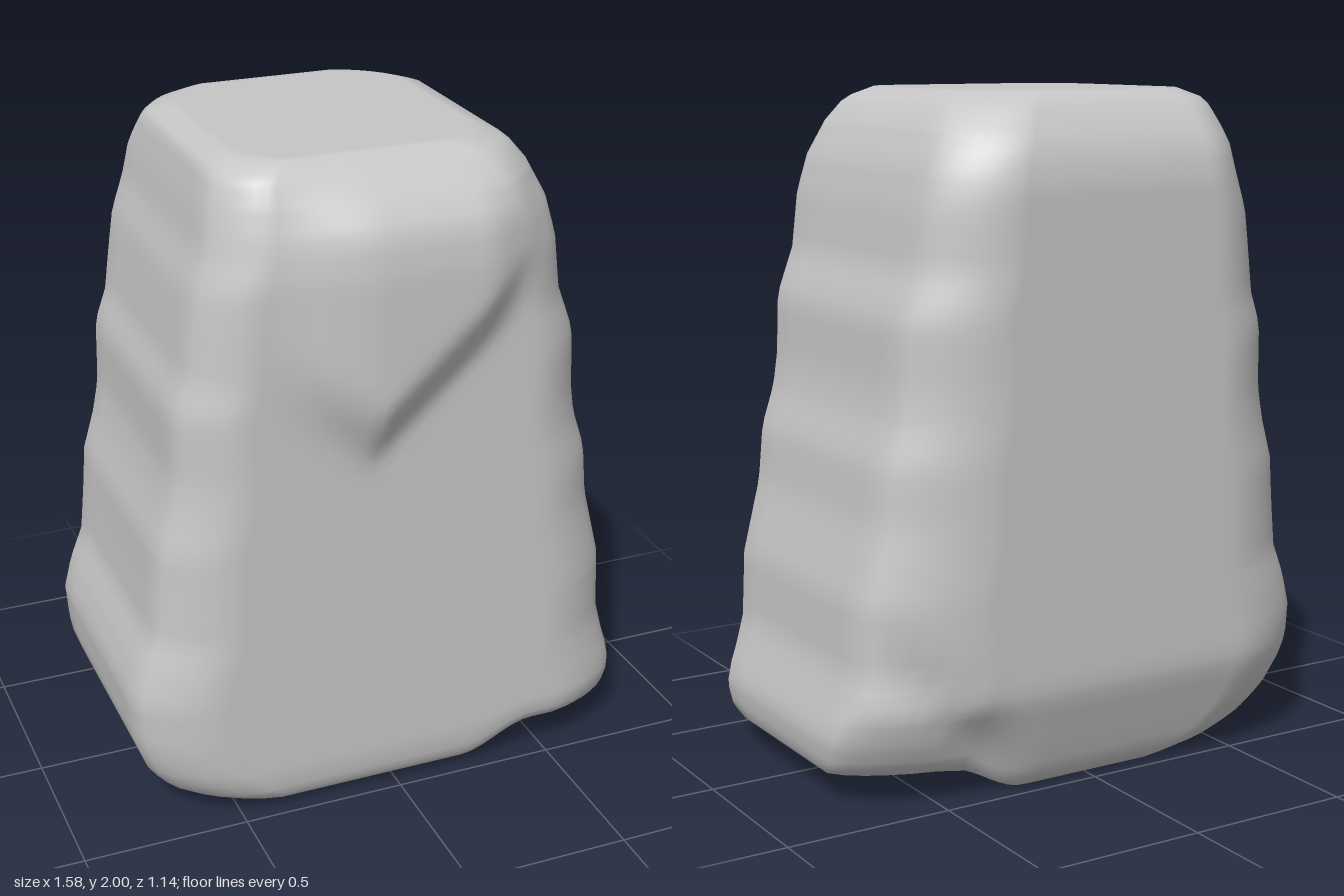
import * as THREE from 'three';

// Silhouette profiles: [height, offset]
const LEFT = [[0, -0.52], [0.03, -0.61], [0.08, -0.69], [0.15, -0.75], [0.25, -0.785], [0.4, -0.795], [0.5, -0.77], [0.6, -0.73],
  [0.75, -0.715], [0.88, -0.705], [1, -0.67], [1.1, -0.65], [1.3, -0.645], [1.4, -0.61], [1.55, -0.59], [1.65, -0.575],
  [1.75, -0.54], [1.85, -0.525], [1.97, -0.495], [2, -0.43]];
const RIGHT = [[0, 0.765], [0.05, 0.78], [0.15, 0.79], [0.25, 0.775], [0.4, 0.735], [0.6, 0.725], [0.7, 0.7], [0.82, 0.67],
  [0.98, 0.655], [1.1, 0.615], [1.2, 0.6], [1.38, 0.592], [1.52, 0.54], [1.68, 0.52], [1.8, 0.49], [1.9, 0.44], [1.97, 0.385], [2, 0.31]];
const FRONT = [[0, 0.42], [0.04, 0.475], [0.12, 0.49], [1.7, 0.49], [1.8, 0.475], [1.9, 0.45], [1.96, 0.425], [2, 0.38]];
const BACK = [[0, -0.44], [0.04, -0.475], [0.12, -0.505], [0.3, -0.565], [1.75, -0.568], [1.85, -0.545], [1.92, -0.5], [1.97, -0.46], [2, -0.41]];

const smooth = THREE.MathUtils.smoothstep;

function sample(table, y) {
  for (let i = 1; i < table.length; i++) {
    const [y0, a] = table[i - 1], [y1, b] = table[i];
    if (y <= y1) return a + (b - a) * (y - y0) / (y1 - y0);
  }
  return table[table.length - 1][1];
}

// Rounded rectangle running from +x to +z, -x and -z
function crossSection(y) {
  const l = sample(LEFT, y), r = sample(RIGHT, y), f = sample(FRONT, y), b = sample(BACK, y);
  const taper = 1 - 0.25 * y;
  const corners = [[r, f, 1, 1, 0.24, 0.14], [l, f, -1, 1, 0.24, 0.15], [l, b, -1, -1, 0.3, 0.17], [r, b, 1, -1, 0.36, 0.17]];
  const straight = [26, 8, 22, 8];
  const arcSteps = 6, points = [];
  const arcPoint = (k, t) => {
    const [x, z, sx, sz, rx, rz] = corners[k % 4];
    const a = ((k % 4) + t) * Math.PI / 2;
    // Flattened arc, partway to a plain chamfer
    const flat = 1 - 0.12 * Math.sin(t * Math.PI);
    return [x - sx * rx * taper + rx * taper * flat * Math.cos(a), z - sz * rz + rz * flat * Math.sin(a)];
  };
  for (let k = 0; k < 4; k++) {
    for (let i = 0; i < arcSteps; i++) points.push(arcPoint(k, i / arcSteps));
    const p = arcPoint(k, 1), q = arcPoint(k + 1, 0);
    for (let i = 0; i < straight[k]; i++) {
      const t = i / straight[k];
      points.push([p[0] + (q[0] - p[0]) * t, p[1] + (q[1] - p[1]) * t]);
    }
  }
  return points;
}

// Brow on the front, ending below in a slanted V-shaped ledge
function browDepth(x, y) {
  const ledge = x < -0.1 ? 1.08 - (x + 0.1) * 0.8 : 1.08 + (x + 0.1) * 0.9;
  const across = smooth(x, -0.46, -0.08) * (1 - smooth(x, 0.2, 0.44));
  return 0.08 * across * smooth(y, ledge, ledge + 0.24) * (1 - smooth(y, 1.8, 2));
}

// Shallow diagonal groove low on the back, near the +x corner
function grooveDepth(x, y) {
  const d = (x - y - 0.22) / Math.SQRT2;
  return 0.035 * Math.exp(-((d / 0.065) ** 2)) * smooth(x, 0.2, 0.4) * (1 - smooth(x, 0.55, 0.74));
}

function rockGeometry() {
  // Rows: [height, scale]; scaled rows close the bottom and top
  const rows = [];
  for (const s of [0, 0.2, 0.4, 0.6, 0.8, 0.92]) rows.push([0, s]);
  for (const y of [0, 0.015, 0.03, 0.055, 0.08]) rows.push([y, 1]);
  for (let y = 0.12; y < 1.9; y += 0.04) rows.push([y, 1]);
  for (const y of [1.9, 1.93, 1.955, 1.975, 1.99, 2]) rows.push([y, 1]);
  for (const s of [0.95, 0.7, 0.35, 0]) rows.push([2, s]);

  const positions = [], index = [];
  rows.forEach(([y, s], row) => {
    const ring = crossSection(y), n = ring.length;
    ring.forEach(([px, pz], i) => {
      const x = px * s;
      let z = pz * s;
      // Stepped underside: raised towards +x
      const lift = 0.09 * smooth(x, 0.22, 0.46) * Math.max(0, 1 - y / 0.3);
      const height = y + lift;
      if (z > 0.25 && s === 1) z += browDepth(x, height) * smooth(z, 0.25, 0.45);
      if (z < -0.25 && s === 1) z += grooveDepth(x, height) * smooth(-z, 0.35, 0.48);
      positions.push(x, height, z);
      if (row < rows.length - 1) {
        const a = row * n + i, b = row * n + (i + 1) % n;
        index.push(a, a + n, b, b, a + n, b + n);
      }
    });
  });
  const geometry = new THREE.BufferGeometry();
  geometry.setAttribute('position', new THREE.Float32BufferAttribute(positions, 3));
  geometry.setIndex(index);
  geometry.computeVertexNormals();
  return geometry;
}

export function createModel() {
  const stone = new THREE.MeshStandardMaterial({ color: 0xc6c6c6 });
  stone.name = 'stone grey';
  const rock = new THREE.Mesh(rockGeometry(), stone);
  rock.name = 'rock';
  const group = new THREE.Group();
  group.name = 'standing rock';
  group.add(rock);
  return group;
}
